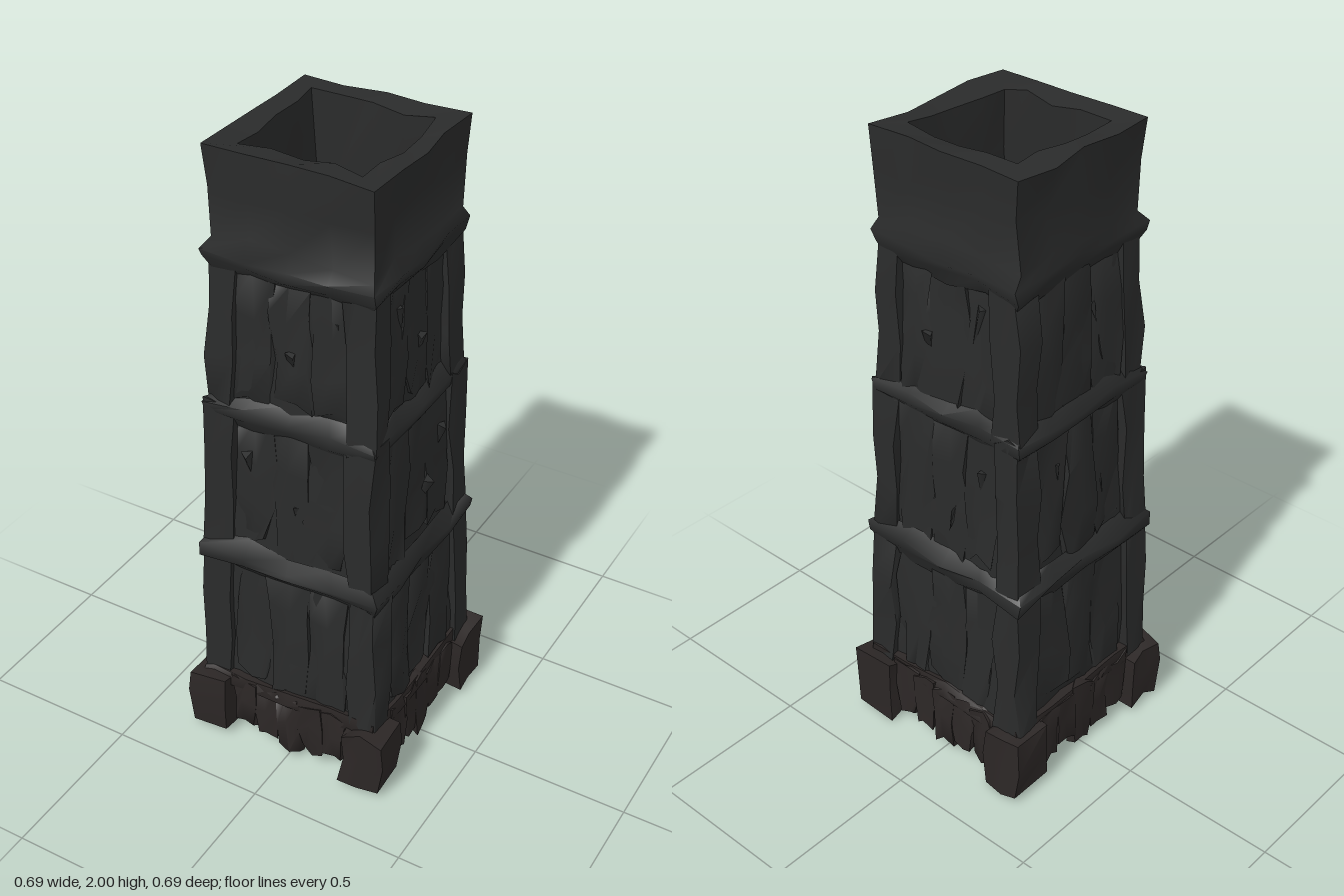
import * as THREE from 'three';
import { mergeVertices, toCreasedNormals } from 'three/addons/utils/BufferGeometryUtils.js';

const charred = new THREE.MeshStandardMaterial({ color: 0x2a2b2b, side: THREE.DoubleSide });
const scorched = new THREE.MeshStandardMaterial({ color: 0x2c2726, side: THREE.DoubleSide });
const ember = new THREE.MeshStandardMaterial({ color: 0xb87c14, side: THREE.DoubleSide });

// repeatable noise in -1..1
const noise = (a, b = 0, c = 0) => {
  const s = Math.sin(a * 127.1 + b * 311.7 + c * 74.7 + 3.1) * 43758.5453;
  return (s - Math.floor(s)) * 2 - 1;
};

// half width of the tapering tower at height y
const halfAt = (y) => 0.314 - 0.035 * y;

// square tube from rings of [half width, height]; the last ring joins the first
function squareTube(rings, perSide, rough, seed) {
  const pos = [], index = [], n = perSide * 4, m = rings.length;
  rings.forEach(([h, y], k) => {
    for (let i = 0; i < n; i++) {
      const side = Math.floor(i / perSide), a = side * Math.PI / 2;
      const t = (i % perSide) / perSide * 2 - 1;
      const x = t * h + noise(i, k, seed) * rough * 0.6;
      const z = h + noise(i, k, seed + 5) * rough;
      pos.push(x * Math.cos(a) + z * Math.sin(a),
        Math.min(2, y + noise(i, k, seed + 9) * rough * 1.2),
        z * Math.cos(a) - x * Math.sin(a));
    }
  });
  for (let k = 0; k < m; k++) for (let i = 0; i < n; i++) {
    const j = (i + 1) % n, a = k * n, b = ((k + 1) % m) * n;
    index.push(a + i, a + j, b + j, a + i, b + j, b + i);
  }
  const geo = new THREE.BufferGeometry();
  geo.setAttribute('position', new THREE.Float32BufferAttribute(pos, 3));
  geo.setIndex(index);
  return toCreasedNormals(geo, 1.2);
}

// warped timber: a box with jittered corners and an optional narrow lower end
function timber(w, h, d, rough, seed, taper = 1, segs = 3) {
  let geo = new THREE.BoxGeometry(w, h, d, 2, segs, 1);
  geo.deleteAttribute('normal');
  geo.deleteAttribute('uv');
  geo = mergeVertices(geo);
  const p = geo.attributes.position;
  for (let i = 0; i < p.count; i++) {
    const y = p.getY(i), s = y < -h / 2 + 0.001 ? taper : 1;
    p.setXYZ(i, p.getX(i) * s + noise(i, seed) * rough,
      y + noise(i, seed, 2) * rough * 1.5,
      p.getZ(i) + noise(i, seed, 4) * rough * 0.6);
  }
  return toCreasedNormals(geo, 1.2);
}

export function createModel() {
  const model = new THREE.Group();
  const add = (name, geo, mat, parent = model) => {
    const mesh = new THREE.Mesh(geo, mat);
    mesh.name = name;
    parent.add(mesh);
    return mesh;
  };

  // hollow tapering walls
  const outer = [], inner = [];
  for (let k = 0; k <= 10; k++) {
    const y = 0.2 + k * 0.155;
    outer.push([halfAt(y) - 0.026, y]);
    inner.unshift([Math.max(0.195, halfAt(y) - 0.07), y]);
  }
  add('walls', squareTube([...outer, ...inner], 6, 0.013, 1), charred);

  // thick collar around the open top
  add('topCollar', squareTube([
    [0.235, 1.62], [0.262, 1.67], [0.266, 1.7], [0.25, 1.74], [0.25, 1.87],
    [0.255, 2], [0.186, 1.99], [0.186, 1.8], [0.19, 1.65],
  ], 4, 0.011, 2), charred);

  // binding bands that swell softly out of the walls
  [[0.7, 0.3, 0.03], [1.21, 0.275, 0.03]].forEach(([y, h, t], i) => {
    add('band', squareTube([
      [h - 0.035, y - t * 2], [h - 0.003, y - t * 0.5], [h, y + t * 0.5],
      [h - 0.035, y + t * 2], [h - 0.06, y],
    ], 4, 0.01, 20 + i), charred);
  });
  add('lowerBeam', squareTube([
    [0.285, 0.17], [0.308, 0.2], [0.3, 0.25], [0.25, 0.24], [0.25, 0.19],
  ], 4, 0.009, 31), scorched);

  for (let s = 0; s < 4; s++) {
    const side = new THREE.Group();
    side.name = 'side';
    side.rotation.y = s * Math.PI / 2;
    model.add(side);

    // corner post and spreading foot
    [[0.2, 0.7], [0.7, 1.22], [1.2, 1.68]].forEach(([y0, y1], k) => {
      const y = (y0 + y1) / 2, at = halfAt(y) - 0.046;
      const post = add('cornerPost', timber(0.088, y1 - y0, 0.088, 0.012, s * 7 + k + 40), charred, side);
      post.position.set(at, y, at);
      post.rotation.set(-0.035, 0, 0.035);
    });
    const foot = add('foot', timber(0.135, 0.21, 0.135, 0.013, s + 70, 0.92, 2), scorched, side);
    foot.position.set(0.27, 0.12, 0.27);

    // warped boards on each storey
    [[0.2, 0.7], [0.72, 1.2], [1.22, 1.66]].forEach(([y0, y1], k) => {
      for (let b = 0; b < 3; b++) {
        const id = s * 31 + k * 7 + b, cut = (noise(id, 3) + 1) * 0.04;
        const h = y1 - y0 - cut, y = y1 - h / 2;
        const board = add('board', timber(0.13, h, 0.026, 0.017, id + 100, 0.75), charred, side);
        board.position.set((b - 1) * 0.125, y, halfAt(y) - 0.03 + noise(id, 8) * 0.006);
        board.rotation.set(-0.035, noise(id, 6) * 0.08, noise(id, 7) * 0.04);
      }
      // small splinters lying against the upper boards
      for (let c = 0; c < 2 && k > 0; c++) {
        const id = s * 17 + k * 5 + c, y = y0 + 0.17 + c * 0.13;
        const chip = add('splinter', new THREE.ConeGeometry(0.02, 0.12, 3), charred, side);
        chip.position.set(noise(id, 12) * 0.15, y, halfAt(y) - 0.026);
        chip.rotation.set(0, noise(id, 13) * 2, Math.PI + noise(id, 14) * 0.4);
      }
    });

    // ragged skirt of broken board ends below the beam
    [0.05, 0.055, 0.015, 0.045, 0.05].forEach((bottom, b) => {
      const low = bottom + noise(s, b, 6) * 0.01, h = 0.23 - low;
      const stub = add('hangingEnd', timber(0.088, h, 0.03, 0.011, s * 9 + b + 200, 0.75, 2),
        scorched, side);
      stub.position.set((b - 2) * 0.078, low + h / 2, 0.292);
    });
  }

  // hollow glowing bowl inside the base, squared off to meet the walls
  const bowl = new THREE.SphereGeometry(1, 16, 6, 0, Math.PI * 2, Math.PI / 2, Math.PI / 2);
  const p = bowl.attributes.position;
  for (let i = 0; i < p.count; i++) {
    const x = p.getX(i), z = p.getZ(i), r = Math.hypot(x, z);
    const square = Math.min(1.25, r / Math.max(Math.abs(x), Math.abs(z), 1e-6));
    p.setXYZ(i, x * 0.235 * square, 0.43 + p.getY(i) * 0.22, z * 0.235 * square);
  }
  bowl.computeVertexNormals();
  add('glowingBowl', bowl, ember);

  return model;
}
